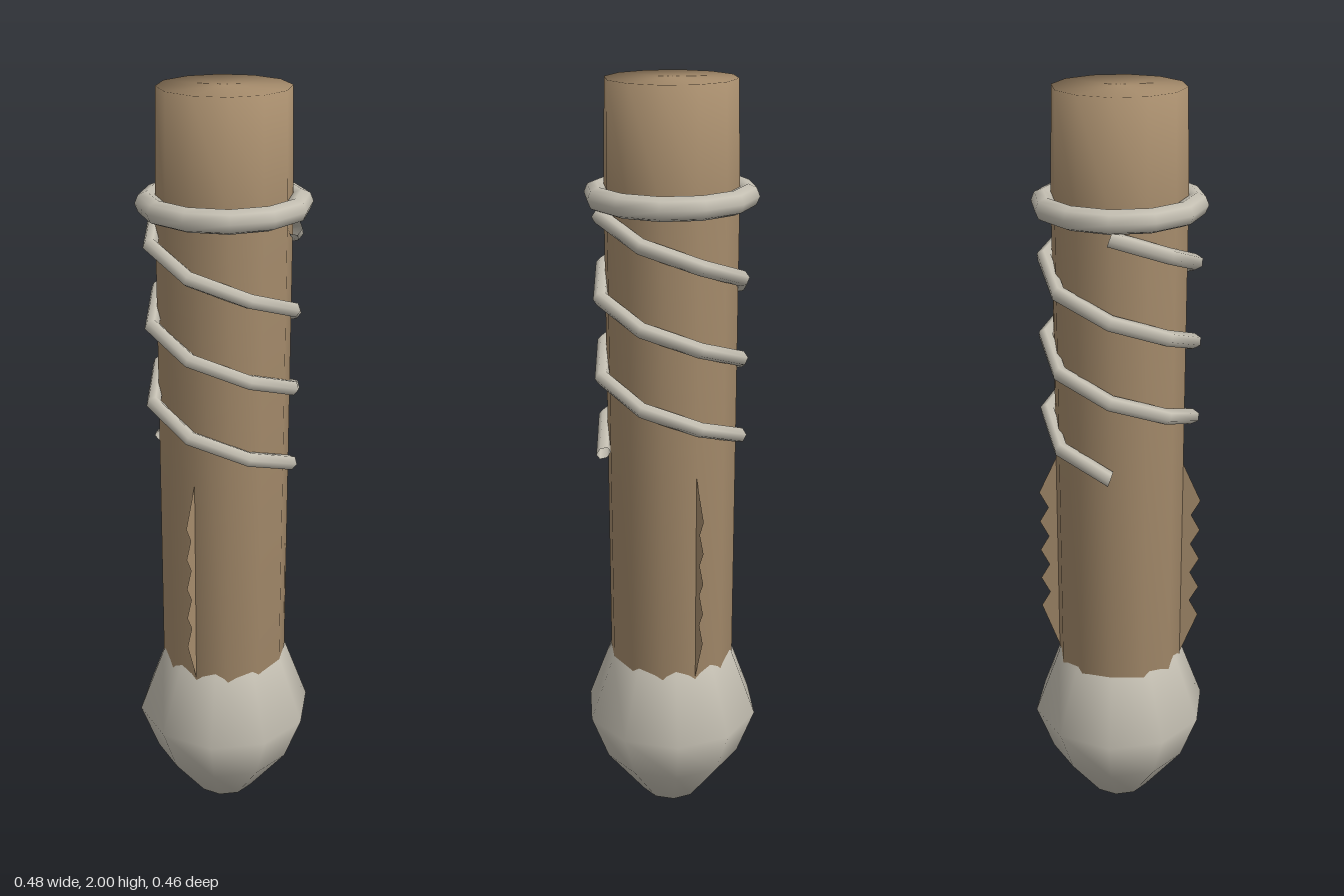
import * as THREE from 'three';

const material = (name, color) => {
  const m = new THREE.MeshStandardMaterial({ color, side: THREE.DoubleSide });
  m.name = name;
  return m;
};

// Smooth turned solid from [radius, height] pairs
const lathe = (profile, sides, start = 0) =>
  new THREE.LatheGeometry(profile.map(([r, y]) => new THREE.Vector2(r, y)), sides, start);

// Descending helix wound round the shaft
class Helix extends THREE.Curve {
  constructor(radius, top, bottom, turns, start) {
    super();
    Object.assign(this, { radius, top, bottom, turns, start });
  }
  getPoint(t, target = new THREE.Vector3()) {
    const a = this.start - t * this.turns * Math.PI * 2;
    return target.set(
      this.radius * Math.cos(a),
      THREE.MathUtils.lerp(this.top, this.bottom, t),
      this.radius * Math.sin(a)
    );
  }
}

// Thin serrated fin, drawn outward along x
function finGeometry() {
  const points = [[0.15, 0.44], [0.168, 0.44]];
  const teeth = 5, first = 0.57, step = 0.0875;
  for (let i = 0; i < teeth; i++) {
    const y = first + i * step;
    points.push([0.218, y]);
    if (i < teeth - 1) points.push([0.194, y + step / 2]);
  }
  points.push([0.168, 1.03], [0.15, 1.03]);
  return new THREE.ShapeGeometry(new THREE.Shape(points.map(([x, y]) => new THREE.Vector2(x, y))));
}

export function createModel() {
  const group = new THREE.Group();
  const wood = material('brown wood', 0xa68c6c);
  const metal = material('pale grey metal', 0xc4bfb2);
  const add = (name, geometry, mat) => {
    const mesh = new THREE.Mesh(geometry, mat);
    mesh.name = name;
    group.add(mesh);
    return mesh;
  };

  // Handle shaft with a softly shaded flat top
  add('shaft', lathe([[0, 0.35], [0.17, 0.35], [0.17, 1.72], [0.164, 2], [0, 2]], 12), wood);

  // Ten-sided pommel bulb
  add('pommel', lathe([[0, 0], [0.085, 0], [0.192, 0.14], [0.24, 0.27], [0.174, 0.45], [0.1, 0.55]],
    10, Math.PI / 2), metal);

  // Collar ring
  const ring = new THREE.TorusGeometry(0.19, 0.03, 8, 12);
  ring.rotateX(Math.PI / 2);
  add('collarRing', ring, metal).position.y = 1.72;

  // Two wires wound in a double helix, and a fin on the front and back
  for (let i = 0; i < 2; i++) {
    const helix = new Helix(0.19, 1.68, 1.06, 1.5, i * Math.PI);
    add('spiralWire' + (i + 1), new THREE.TubeGeometry(helix, 12, 0.02, 6), metal);
    add(i ? 'backFin' : 'frontFin', finGeometry(), wood).rotation.y = (i ? 1 : -1) * Math.PI / 2;
  }
  return group;
}
